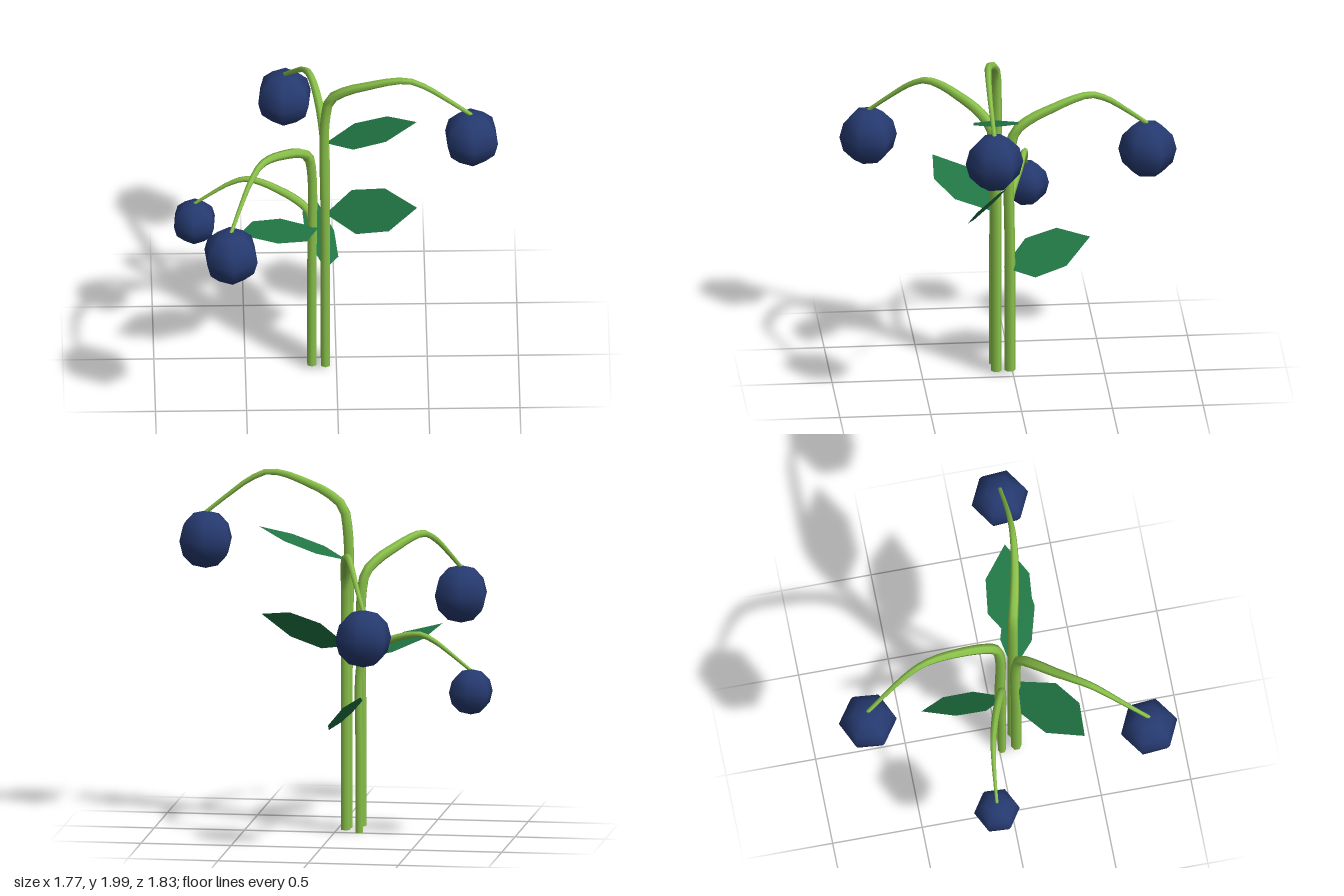
import * as THREE from 'three';

const stemGreen = new THREE.MeshStandardMaterial({ name: 'stemGreen', color: 0x8bc34a });
const leafGreen = new THREE.MeshStandardMaterial({ name: 'leafGreen', color: 0x217645, side: THREE.DoubleSide });
const berryBlue = new THREE.MeshStandardMaterial({ name: 'berryBlue', color: 0x263a70 });

// Arch of every stem: distance along its heading, height relative to the peak
const ARCH = [[0, -0.3], [0.03, -0.17], [0.12, -0.1], [0.24, -0.05], [0.36, -0.01],
  [0.46, 0], [0.56, -0.045], [0.66, -0.12], [0.8, -0.235]];
const SIDES = 6;

// base and tip are [x, z]
const STEMS = [
  { name: 'tallStem', base: [-0.06, 0.09], tip: [0.74, 0.17], peak: 1.97, foot: 0.015, size: 1 },
  { name: 'frontStem', base: [-0.135, 0.095], tip: [-0.59, 0.75], peak: 1.6, foot: 0.025, size: 1 },
  { name: 'backStem', base: [-0.06, 0.015], tip: [-0.27, -0.76], peak: 1.6, foot: 0.015, size: 1 },
  { name: 'smallStem', base: [-0.135, 0.015], tip: [-0.775, -0.135], peak: 1.13, foot: 0, size: 0.79 },
];

// side points from the midrib to one edge
const LEAVES = [
  { name: 'upperLeaf', base: [-0.06, 1.5, 0.09], tip: [0.44, 1.67, 0.14], side: [0.005, 0, -0.125] },
  { name: 'middleLeaf', base: [-0.06, 1.025, 0.09], tip: [0.44, 1.165, 0.24], side: [-0.01, 0.085, -0.09] },
  { name: 'frontLeaf', base: [-0.1, 0.945, 0.11], tip: [-0.54, 1.11, 0.4], side: [0.07, 0.0, 0.11] },
  { name: 'backLeaf', base: [-0.06, 0.625, 0.05], tip: [-0.11, 0.77, -0.43], side: [-0.09, 0.08, 0.02] },
];

// Tapered stem whose arch bends slightly sideways, with a berry at its tip
function makeStem({ name, base, tip, peak, foot, size }) {
  const group = new THREE.Group();
  group.name = name;
  const dx = tip[0] - base[0], dz = tip[1] - base[1];
  const points = [foot, (peak - 0.3 * size) / 2].map(y => new THREE.Vector3(base[0], y, base[1]));
  for (const [d, h] of ARCH) {
    const t = d / 0.8, bend = 0.05 * Math.sin(Math.PI * t);
    points.push(new THREE.Vector3(base[0] + dx * t - dz * bend, peak + h * size, base[1] + dz * t + dx * bend));
  }
  const curve = new THREE.CatmullRomCurve3(points);
  const rings = 40, radius = 0.029 * size;
  const tube = new THREE.TubeGeometry(curve, rings, radius, SIDES, false);
  const pos = tube.attributes.position, v = new THREE.Vector3();
  for (let i = 0; i <= rings; i++) {
    const u = i / rings, centre = curve.getPointAt(u);
    const k = 1 - 0.6 * THREE.MathUtils.smoothstep(u, 0.62, 1);
    for (let j = 0; j <= SIDES; j++) {
      const n = i * (SIDES + 1) + j;
      v.fromBufferAttribute(pos, n).sub(centre).multiplyScalar(k).add(centre);
      pos.setXYZ(n, v.x, v.y, v.z);
    }
  }
  const stalk = new THREE.Mesh(tube, stemGreen);
  stalk.name = 'stalk';

  const cap = new THREE.Mesh(new THREE.CircleGeometry(radius, SIDES), stemGreen);
  cap.name = 'stalkFoot';
  cap.rotation.x = Math.PI / 2;
  cap.position.set(base[0], foot, base[1]);

  const berry = new THREE.Mesh(new THREE.SphereGeometry(0.16 * size, 6, 6), berryBlue);
  berry.name = 'berry';
  berry.position.set(tip[0], peak - 0.385 * size, tip[1]);
  // one corner of the hexagon points across the stem's final heading
  berry.rotation.y = -(Math.atan2(dz, dx) - 0.17 + Math.PI / 2);

  group.add(stalk, cap, berry);
  return group;
}

// Flat pointed leaf: x runs along the midrib, y across it
function makeLeaf({ name, base, tip, side }) {
  const outline = [[0, 0], [0.31, 1], [0.67, 0.97], [1, 0], [0.67, -0.97], [0.31, -1]];
  const shape = new THREE.Shape(outline.map(([x, y]) => new THREE.Vector2(x, y)));
  const root = new THREE.Vector3(...base);
  const along = new THREE.Vector3(...tip).sub(root);
  const across = new THREE.Vector3(...side);
  const normal = along.clone().cross(across).normalize();
  const geometry = new THREE.ShapeGeometry(shape);
  geometry.applyMatrix4(new THREE.Matrix4().makeBasis(along, across, normal).setPosition(root));
  const leaf = new THREE.Mesh(geometry, leafGreen);
  leaf.name = name;
  return leaf;
}

export function createModel() {
  const model = new THREE.Group();
  model.name = 'berryPlant';
  STEMS.forEach(s => model.add(makeStem(s)));
  LEAVES.forEach(l => model.add(makeLeaf(l)));
  return model;
}
